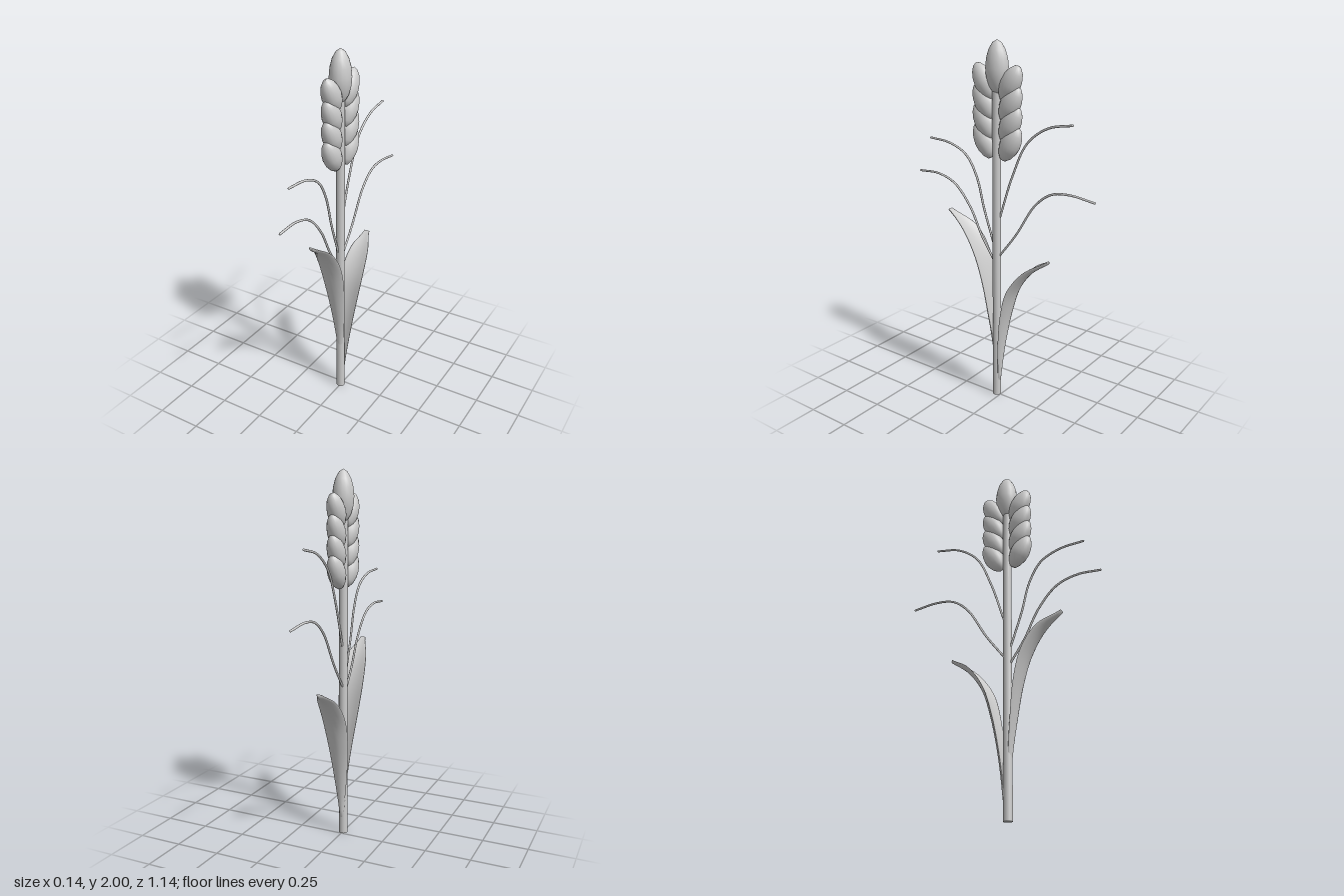
import * as THREE from 'three';

const AXIS_Z = 0.025; // stem axis, slightly forward of the bounds centre

const strawGrey = new THREE.MeshStandardMaterial({ color: 0xcccccc });
strawGrey.name = 'strawGrey';

function add(group, name, geometry) {
  const mesh = new THREE.Mesh(geometry, strawGrey);
  mesh.name = name;
  group.add(mesh);
  return mesh;
}

// Plump grain with a blunt base and pointed tip, unit height and radius
function grainGeometry() {
  const profile = [[0, 0], [0.34, 0.01], [0.7, 0.14], [0.94, 0.32], [1, 0.48],
    [0.92, 0.66], [0.72, 0.82], [0.38, 0.95], [0, 1]];
  return new THREE.LatheGeometry(profile.map(([r, y]) => new THREE.Vector2(r, y)), 16);
}

// Channelled leaf blade: stations are [x, y, z, halfWidth]; side is +1 front, -1 back
function leafGeometry(stations, side) {
  const path = new THREE.CatmullRomCurve3(stations.map(([x, y, z]) => new THREE.Vector3(x, y, z)));
  const widths = new THREE.SplineCurve(stations.map((s, i) => new THREE.Vector2(i, s[3])));
  const rows = 28, ring = 20, positions = [], index = [];
  const across = new THREE.Vector3(1, 0, 0);
  for (let i = 0; i <= rows; i++) {
    const t = i / rows;
    const centre = path.getPoint(t);
    const normal = path.getTangent(t).cross(across).normalize();
    const half = widths.getPoint(t).y;
    for (let j = 0; j < ring; j++) {
      const a = (j / ring) * Math.PI * 2;
      const lift = Math.sin(a) * 0.008 + side * 0.3 * half * (Math.cos(a) ** 2 - 0.5);
      const p = centre.clone().addScaledVector(normal, lift);
      positions.push(p.x + Math.cos(a) * half, p.y, p.z);
    }
  }
  for (let i = 0; i < rows; i++) {
    for (let j = 0; j < ring; j++) {
      const k = (j + 1) % ring;
      const a = i * ring + j, b = i * ring + k;
      index.push(a, b, a + ring, b, b + ring, a + ring);
    }
  }
  // Close both ends by joining the upper and lower halves of the ring
  const last = rows * ring;
  for (let j = 0; j < ring / 2; j++) {
    const k = j + 1, m = (ring - j) % ring, n = ring - k;
    index.push(j, m, k, k, m, n);
    index.push(last + j, last + k, last + m, last + k, last + n, last + m);
  }
  const geometry = new THREE.BufferGeometry();
  geometry.setAttribute('position', new THREE.Float32BufferAttribute(positions, 3));
  geometry.setIndex(index);
  geometry.computeVertexNormals();
  return geometry;
}

export function createModel() {
  const model = new THREE.Group();
  model.name = 'cerealStalk';

  // Stem
  const stem = add(model, 'stem', new THREE.CylinderGeometry(0.023, 0.024, 1.75, 16));
  stem.position.set(-0.002, 0.875, AXIS_Z);

  // Ear: four pairs of grains and one at the top
  const ear = new THREE.Group();
  ear.name = 'ear';
  model.add(ear);
  const grain = grainGeometry();
  for (const side of [1, -1]) {
    for (let i = 0; i < 4; i++) {
      const kernel = add(ear, 'sideGrain', grain);
      kernel.position.set(-0.002, 1.397 + i * 0.102, 0.022 + side * 0.036);
      kernel.rotation.x = side * 0.5;
      kernel.scale.set(0.047, 0.202, 0.056);
    }
  }
  const tip = add(ear, 'topGrain', grain);
  tip.position.set(-0.002, 1.735, 0.022);
  tip.scale.set(0.056, 0.265, 0.063);

  // Awns: thin arching stalks, points are [z, y]
  const awns = [
    [[0.005, 1.08], [-0.074, 1.316], [-0.164, 1.5], [-0.286, 1.59], [-0.424, 1.62]],
    [[0.01, 0.855], [-0.1, 1.0], [-0.217, 1.183], [-0.313, 1.257], [-0.419, 1.273], [-0.562, 1.257]],
    [[0.045, 0.91], [0.111, 1.103], [0.159, 1.273], [0.228, 1.385], [0.34, 1.438], [0.477, 1.451]],
    [[0.045, 0.82], [0.127, 0.944], [0.207, 1.098], [0.313, 1.215], [0.43, 1.255], [0.562, 1.252]],
  ];
  for (const points of awns) {
    const curve = new THREE.CatmullRomCurve3(points.map(([z, y]) => new THREE.Vector3(-0.005, y, z)));
    add(model, 'awn', new THREE.TubeGeometry(curve, 32, 0.006, 8));
    // Rounded free end
    const end = add(model, 'awnEnd', new THREE.SphereGeometry(0.006, 8, 6));
    end.position.copy(curve.getPoint(1));
  }

  // Leaves
  add(model, 'frontLeaf', leafGeometry([
    [0, 0.25, 0.034, 0.014], [0, 0.37, 0.043, 0.026], [0, 0.52, 0.062, 0.043],
    [-0.004, 0.695, 0.092, 0.061], [-0.004, 0.855, 0.14, 0.07],
    [0.003, 0.985, 0.22, 0.058], [0.016, 1.07, 0.333, 0.015],
  ], 1));
  add(model, 'backLeaf', leafGeometry([
    [0, 0.1, 0.008, 0.012], [0, 0.334, -0.014, 0.038], [0, 0.536, -0.05, 0.06],
    [0.001, 0.69, -0.1, 0.069], [-0.004, 0.812, -0.19, 0.056], [-0.016, 0.882, -0.294, 0.016],
  ], -1));

  return model;
}
